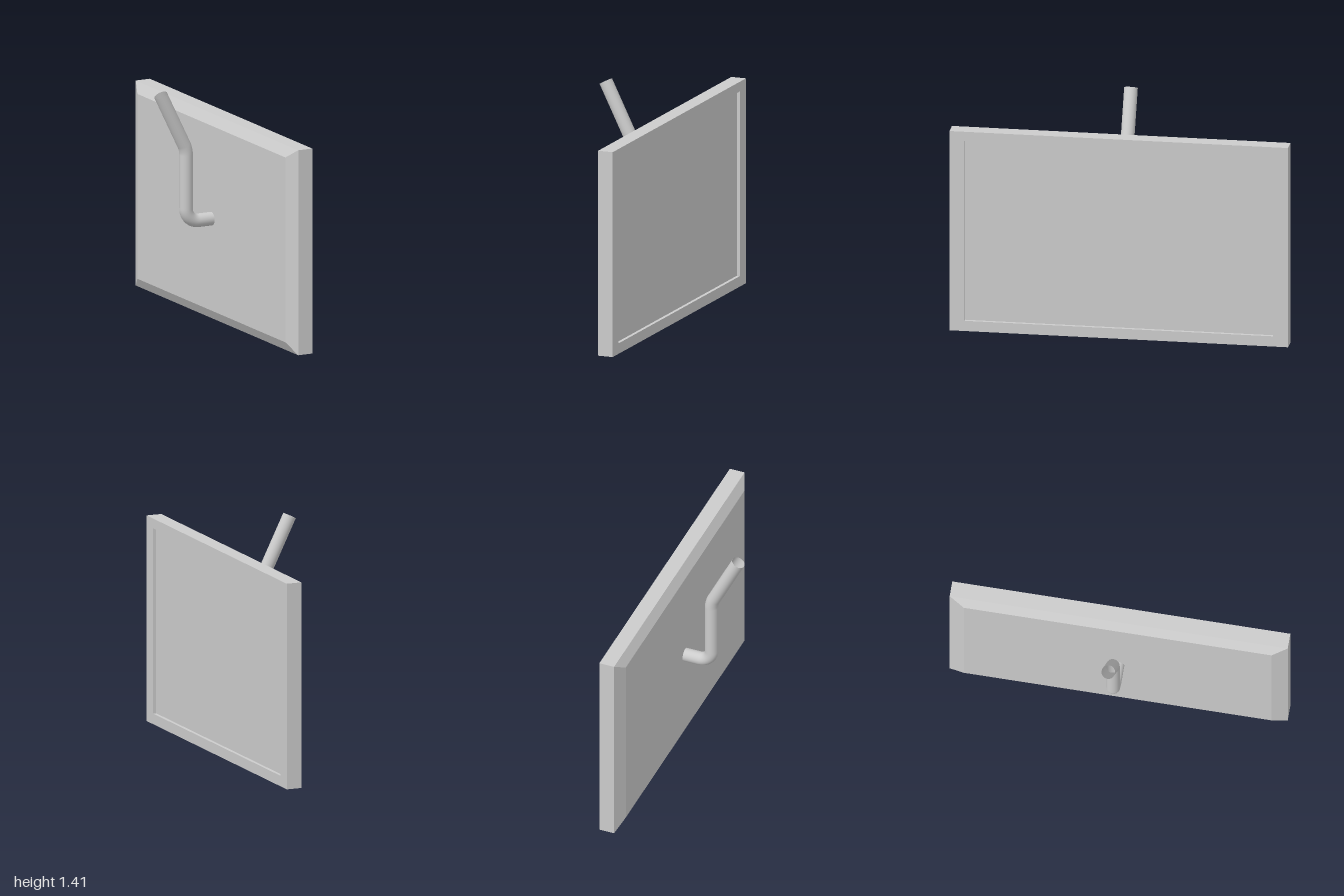
import * as THREE from 'three';

const material = new THREE.MeshStandardMaterial({ color: 0xcccccc, side: THREE.DoubleSide });

// Flat-faced shell through rectangular rings [x, halfDepth, bottom, top], capped at both ends
function ringShell(rings) {
  const corners = rings.map(([x, d, y0, y1]) => [
    [x, y0, d], [x, y0, -d], [x, y1, -d], [x, y1, d],
  ]);
  const pos = [];
  const quad = (a, b, c, d) => pos.push(...a, ...b, ...c, ...a, ...c, ...d);
  for (let r = 0; r < corners.length - 1; r++) {
    for (let i = 0; i < 4; i++) {
      const j = (i + 1) % 4;
      quad(corners[r][i], corners[r][j], corners[r + 1][j], corners[r + 1][i]);
    }
  }
  const first = corners[0];
  quad(first[3], first[2], first[1], first[0]);
  quad(...corners[corners.length - 1]);
  const geo = new THREE.BufferGeometry();
  geo.setAttribute('position', new THREE.Float32BufferAttribute(pos, 3));
  geo.computeVertexNormals();
  return geo;
}

// Centre line with each inner corner rounded, trimmed by its tangent length
function bentPath(points, trims) {
  const path = new THREE.CurvePath();
  let start = points[0];
  for (let i = 1; i < points.length - 1; i++) {
    const p = points[i];
    const toward = (q) => p.clone().add(q.clone().sub(p).setLength(trims[i - 1]));
    const a = toward(points[i - 1]);
    const b = toward(points[i + 1]);
    path.add(new THREE.LineCurve3(start, a));
    path.add(new THREE.CubicBezierCurve3(a, a.clone().lerp(p, 0.55), b.clone().lerp(p, 0.55), b));
    start = b;
  }
  path.add(new THREE.LineCurve3(start, points[points.length - 1]));
  return path;
}

export function createModel() {
  const group = new THREE.Group();

  // Housing with a bevelled back, and a frame around the recessed screen
  const housing = new THREE.Mesh(ringShell([
    [0.12, 0.91, 0.063, 1.172],
    [0.157, 1, 0, 1.23],
    [0.25, 1, 0, 1.23],
    [0.25, 0.91, 0.063, 1.172],
    [0.23, 0.91, 0.063, 1.172],
  ]), material);
  housing.name = 'screenHousing';
  group.add(housing);

  // Bent hollow arm behind the screen
  const path = bentPath([
    new THREE.Vector3(0.125, 0.615, 0),
    new THREE.Vector3(-0.048, 0.615, 0),
    new THREE.Vector3(-0.048, 1.05, 0),
    new THREE.Vector3(-0.216, 1.392, 0),
  ], [0.078, 0.03]);
  const arm = new THREE.Mesh(new THREE.TubeGeometry(path, 120, 0.04, 32, false), material);
  arm.name = 'mountingArm';
  group.add(arm);

  return group;
}
